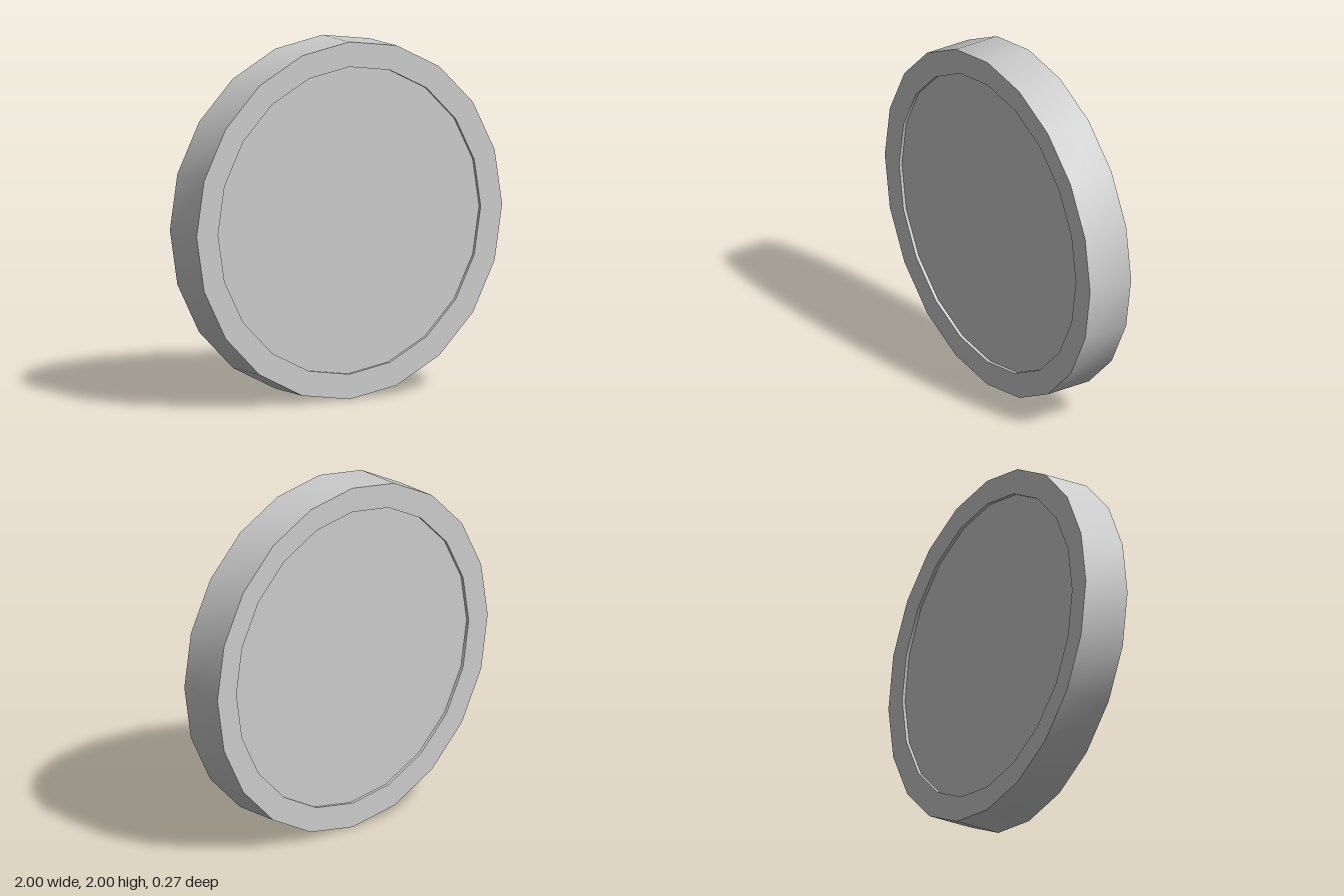
import * as THREE from 'three';
import { toCreasedNormals } from 'three/addons/utils/BufferGeometryUtils.js';

const SIDES = 20;
const OUTER = 1, INNER = 0.86;
const HALF = 0.137;    // half thickness of the rim
const RECESS = 0.018;  // depth of the sunken faces

export function createModel() {
  const group = new THREE.Group();
  group.name = 'disc';
  const material = new THREE.MeshStandardMaterial({ color: 0xcccccc });

  const add = (name, geometry) => {
    geometry.rotateX(Math.PI / 2); // axis from y to z
    const mesh = new THREE.Mesh(geometry, material);
    mesh.name = name;
    mesh.position.y = OUTER;
    group.add(mesh);
  };

  // Raised rim: rectangular section turned round the axis, smooth around, sharp at the edges
  const section = [
    [INNER, -HALF], [OUTER, -HALF], [OUTER, HALF], [INNER, HALF], [INNER, -HALF],
  ].map(([r, y]) => new THREE.Vector2(r, y));
  add('rim', toCreasedNormals(new THREE.LatheGeometry(section, SIDES), Math.PI / 6));

  // Sunken flat faces, front and back
  add('centrePanel', new THREE.CylinderGeometry(INNER, INNER, 2 * (HALF - RECESS), SIDES));

  return group;
}
